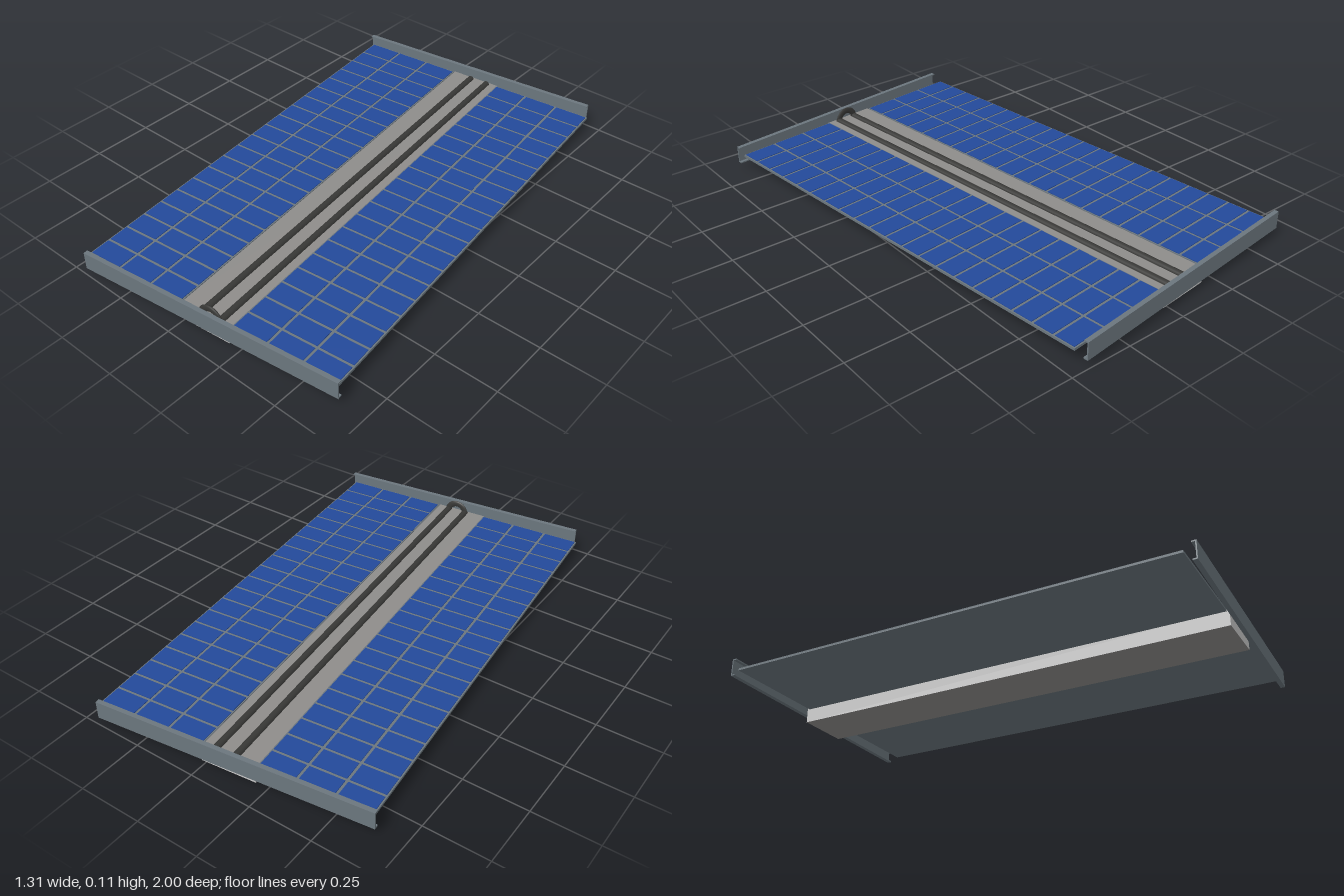
import * as THREE from 'three';

const mat = (name, color) => {
  const m = new THREE.MeshStandardMaterial({ color });
  m.name = name;
  return m;
};

export function createModel() {
  const frameGrey = mat('frame grey', 0x6b767d);
  const cellBlue = mat('cell blue', 0x23499a);
  const spineGrey = mat('spine grey', 0x8e8c8a);
  const paleGrey = mat('pale grey', 0xcacaca);
  const cableDark = mat('cable dark', 0x383836);

  const model = new THREE.Group();
  model.name = 'solarArray';
  const array = new THREE.Group();
  array.name = 'array';
  array.rotation.y = THREE.MathUtils.degToRad(5.65);
  model.add(array);

  const add = (parent, name, geometry, material, x, y, z) => {
    const mesh = new THREE.Mesh(geometry, material);
    mesh.name = name;
    mesh.position.set(x, y, z);
    parent.add(mesh);
    return mesh;
  };
  const box = (w, h, d) => new THREE.BoxGeometry(w, h, d);

  // Central spine: pale sides and ends, darker top and bottom
  add(array, 'spine', box(0.218, 0.063, 1.84),
    [paleGrey, paleGrey, spineGrey, spineGrey, paleGrey, paleGrey], 0, 0.0315, 0);

  // Two panels, each with a 3 by 20 grid of cells
  const inner = 0.109, outer = 0.548, length = 1.82, cols = 3, rows = 20, gap = 0.011;
  const pitchX = (outer - inner) / cols, pitchZ = length / rows;
  const cell = box(pitchX - gap, 0.003, pitchZ - gap);
  for (const side of [-1, 1]) {
    const panel = new THREE.Group();
    panel.name = side > 0 ? 'leftPanel' : 'rightPanel';
    array.add(panel);
    add(panel, 'panelBoard', box(outer - inner, 0.009, length), frameGrey,
      side * (inner + outer) / 2, 0.0615, 0);
    for (let c = 0; c < cols; c++) {
      for (let r = 0; r < rows; r++) {
        add(panel, 'cell', cell, cellBlue, side * (inner + (c + 0.5) * pitchX), 0.067,
          -length / 2 + (r + 0.5) * pitchZ);
      }
    }
  }

  // Slightly skewed end channels, open toward the panels
  const beams = new THREE.Group();
  beams.name = 'endBeams';
  beams.rotation.y = THREE.MathUtils.degToRad(1);
  array.add(beams);
  for (const end of [-1, 1]) {
    const name = end > 0 ? 'frontBeam' : 'backBeam';
    add(beams, name + 'Web', box(1.095, 0.071, 0.005), frameGrey, 0, 0.067, end * 0.9385);
    for (const y of [0.034, 0.1]) {
      add(beams, name + 'Flange', box(1.095, 0.005, 0.014), frameGrey, 0, y, end * 0.93);
    }
  }

  // Twin cables along the spine, joined by an upright hoop at the front
  const cableX = 0.02, spread = 0.0395, radius = 0.0145;
  const cable = new THREE.CylinderGeometry(radius, radius, 1.82, 16).rotateX(Math.PI / 2);
  for (const side of [-1, 1]) {
    add(array, 'cable', cable, cableDark, cableX + side * spread, 0.0605, 0);
  }
  const hoop = add(array, 'cableHoop', new THREE.TorusGeometry(spread, 0.0135, 12, 24, Math.PI),
    cableDark, cableX, 0.059, 0.905);
  hoop.scale.z = 0.4;

  return model;
}
